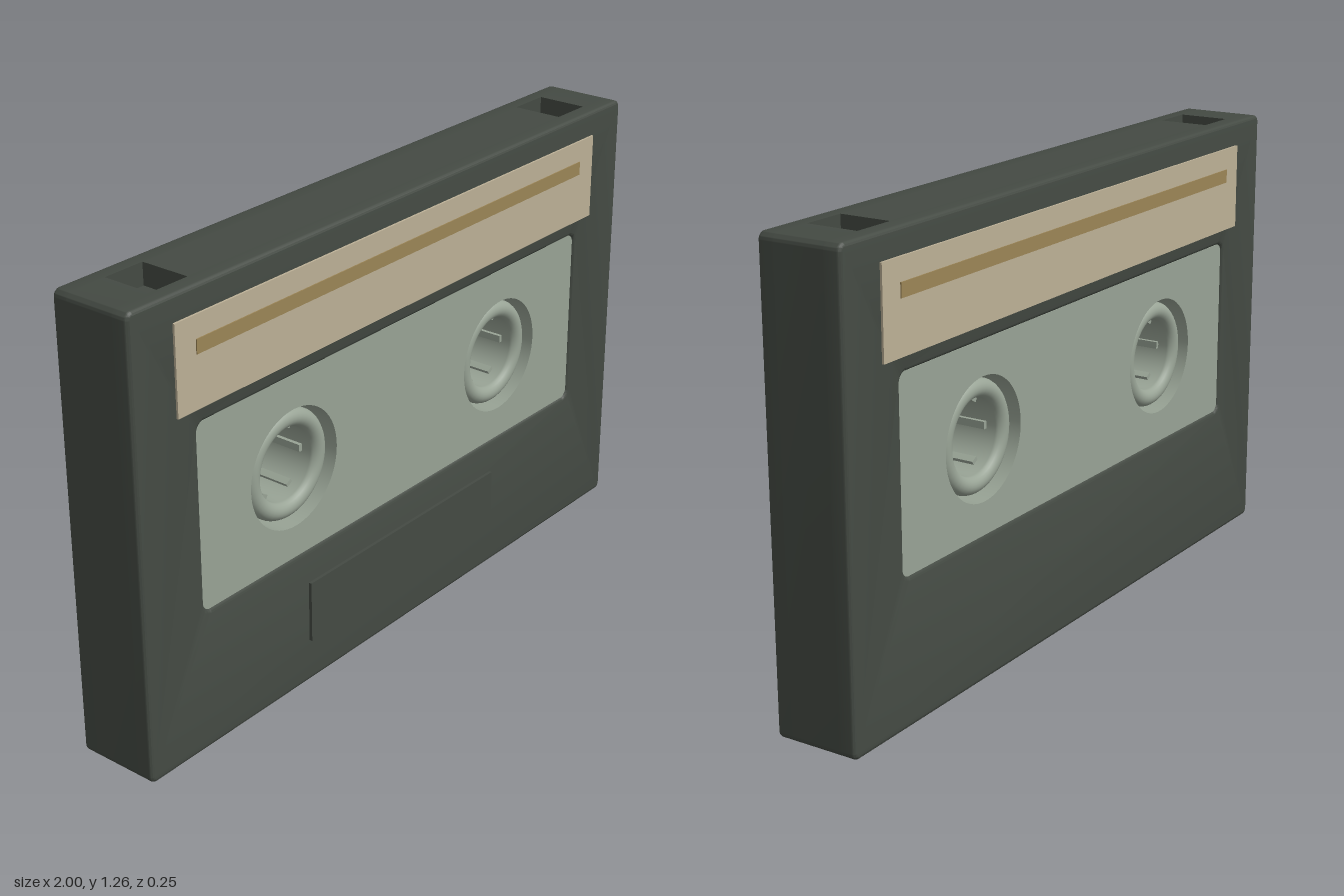
import * as THREE from 'three';
import { toCreasedNormals } from 'three/addons/utils/BufferGeometryUtils.js';

const HALF = 0.118, POCKET = 0.072, TOP = 1.26, BEVEL = 0.01;
const REEL_X = 0.44, REEL_Y = 0.65;

const paint = (name, color) => {
  const m = new THREE.MeshStandardMaterial({ color });
  m.name = name;
  return m;
};

// Rounded rectangle, usable as outline or hole
function roundRect(path, x0, y0, x1, y1, r) {
  path.moveTo(x0 + r, y0);
  path.lineTo(x1 - r, y0);
  path.absarc(x1 - r, y0 + r, r, -Math.PI / 2, 0, false);
  path.lineTo(x1, y1 - r);
  path.absarc(x1 - r, y1 - r, r, 0, Math.PI / 2, false);
  path.lineTo(x0 + r, y1);
  path.absarc(x0 + r, y1 - r, r, Math.PI / 2, Math.PI, false);
  path.lineTo(x0, y0 + r);
  path.absarc(x0 + r, y0 + r, r, Math.PI, Math.PI * 1.5, false);
  return path;
}
const windowOutline = (path) => roundRect(path, -0.79, 0.395, 0.79, 0.91, 0.025);

export function createModel() {
  const group = new THREE.Group();
  const shellMat = paint('charcoal shell', 0x444a43);
  const windowMat = paint('grey green window', 0x98a395);
  const labelMat = paint('cream label', 0xbcb096);
  const stripeMat = paint('ochre stripe', 0x9b8556);
  const darkMat = paint('black recess', 0x151715);

  const add = (name, geo, mat, x = 0, y = 0, z = 0, parent = group) => {
    const mesh = new THREE.Mesh(geo, mat);
    mesh.name = name;
    mesh.position.set(x, y, z);
    parent.add(mesh);
    return mesh;
  };
  const plate = (name, mat, w, y0, y1, z0, z1) =>
    add(name, new THREE.BoxGeometry(w, y1 - y0, z1 - z0), mat, 0, (y0 + y1) / 2, (z0 + z1) / 2);

  // Outer shell halves: bevelled on the outside, flattened on the inside
  const shellShape = roundRect(new THREE.Shape(), -1, 0, 1, TOP, 0.02);
  shellShape.holes.push(windowOutline(new THREE.Path()));
  let shell = new THREE.ExtrudeGeometry(shellShape, {
    depth: HALF - POCKET - BEVEL, bevelEnabled: true, bevelThickness: BEVEL,
    bevelSize: BEVEL, bevelOffset: -BEVEL, bevelSegments: 3, curveSegments: 6,
  });
  const p = shell.attributes.position;
  for (let i = 0; i < p.count; i++) p.setZ(i, Math.max(p.getZ(i), 0));
  shell = toCreasedNormals(shell, 0.6);
  add('frontShell', shell, shellMat, 0, 0, POCKET);
  add('backShell', shell, shellMat, 0, 0, -POCKET).rotation.y = Math.PI;

  // Core layer with the two square pockets in the top edge
  const core = new THREE.Shape();
  const r = 0.02, floor = TOP - 0.06;
  core.moveTo(-1 + r, 0);
  core.lineTo(1 - r, 0);
  core.absarc(1 - r, r, r, -Math.PI / 2, 0, false);
  core.lineTo(1, TOP - r);
  core.absarc(1 - r, TOP - r, r, 0, Math.PI / 2, false);
  for (const [a, b] of [[0.877, 0.755], [-0.755, -0.877]]) {
    core.lineTo(a, TOP);
    core.lineTo(a, floor);
    core.lineTo(b, floor);
    core.lineTo(b, TOP);
  }
  core.lineTo(-1 + r, TOP);
  core.absarc(-1 + r, TOP - r, r, Math.PI / 2, Math.PI, false);
  core.lineTo(-1, r);
  core.absarc(-1 + r, r, r, Math.PI, Math.PI * 1.5, false);
  core.holes.push(windowOutline(new THREE.Path()));
  const coreGeo = new THREE.ExtrudeGeometry(core, { depth: POCKET * 2, bevelEnabled: false, curveSegments: 6 });
  add('shellCore', toCreasedNormals(coreGeo, 0.6), shellMat, 0, 0, -POCKET);
  add('pocketSlot', new THREE.BoxGeometry(0.026, 0.008, 0.07), darkMat, 0.768, floor + 0.004, 0);

  // Window block with reel openings through it
  const win = windowOutline(new THREE.Shape());
  for (const s of [-1, 1]) {
    win.holes.push(new THREE.Path().absarc(s * REEL_X, REEL_Y, 0.165, 0, Math.PI * 2, true));
  }
  const winDepth = HALF - 0.006;
  const winGeo = new THREE.ExtrudeGeometry(win, { depth: winDepth * 2, bevelEnabled: false, curveSegments: 32 });
  add('window', toCreasedNormals(winGeo, 0.6), windowMat, 0, 0, -winDepth);

  // Reel: rounded ring section turned about the z axis
  const section = [];
  const ringR = 0.126, half = 0.026, reach = 0.07;
  for (let i = 0; i <= 24; i++) {
    const a = (i / 24) * Math.PI * 2;
    const y = Math.sin(a);
    section.push(new THREE.Vector2(ringR + half * Math.cos(a), y * 0.028 + (Math.abs(y) < 1e-6 ? 0 : Math.sign(y) * reach)));
  }
  const reelGeo = new THREE.LatheGeometry(section, 48).rotateX(Math.PI / 2);
  const toothGeo = new THREE.BoxGeometry(0.022, 0.02, 0.1);
  for (const s of [-1, 1]) {
    const reel = new THREE.Group();
    reel.name = s > 0 ? 'leftReel' : 'rightReel';
    reel.position.set(s * REEL_X, REEL_Y, 0);
    add('reelRing', reelGeo, windowMat, 0, 0, 0, reel);
    for (let i = 0; i < 6; i++) {
      const a = (i / 6) * Math.PI * 2;
      add('reelTooth', toothGeo, windowMat, Math.cos(a) * 0.1, Math.sin(a) * 0.1, 0, reel).rotation.z = a;
    }
    group.add(reel);
  }

  // Labels and stripes on both faces
  for (const s of [-1, 1]) {
    const side = s > 0 ? 'front' : 'back';
    const span = (a, b) => (s > 0 ? [a, b] : [-b, -a]);
    plate(side + 'Label', labelMat, 1.715, 0.95, 1.19, ...span(HALF - 0.002, HALF + 0.006));
    plate(side + 'Stripe', stripeMat, 1.58, 1.092, 1.13, ...span(HALF + 0.001, HALF + 0.009));
  }

  // Raised pad on the lower front
  plate('raisedPad', shellMat, 0.8, 0.125, 0.3, HALF - 0.01, HALF + 0.009);

  return group;
}
